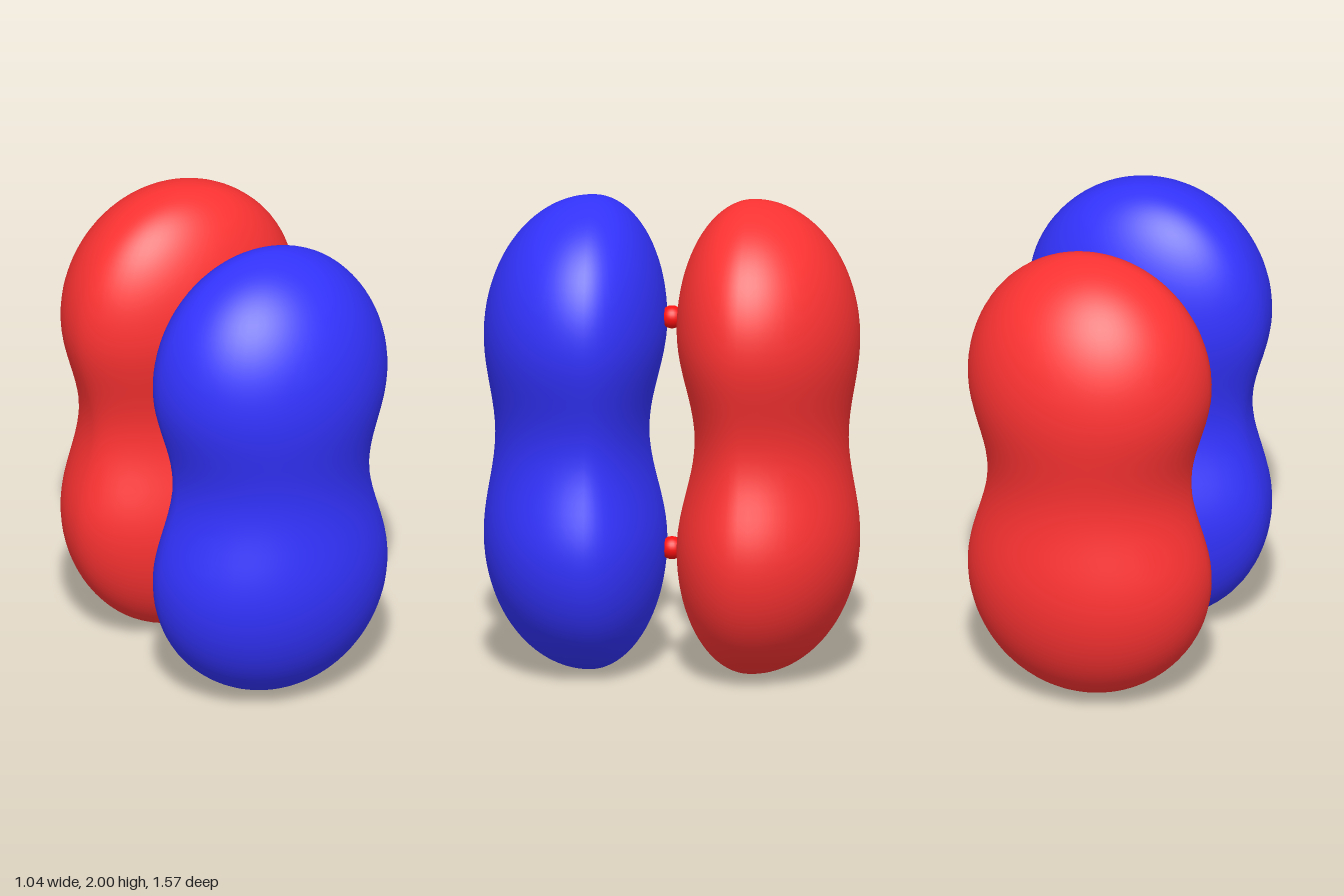
import * as THREE from 'three';
import { mergeVertices } from 'three/addons/utils/BufferGeometryUtils.js';

// Extent at distance d from mid-height: waist swelling to a peak, then an elliptical cap
function extent(d, waist, max, peak) {
  if (d >= 1) return 0;
  if (d > peak) return max * Math.sqrt(1 - ((d - peak) / (1 - peak)) ** 2);
  return waist + (max - waist) * (1 - Math.cos(Math.PI * d / peak)) / 2;
}

// Peanut-shaped lobe, flatter on its inner side (low z)
function lobeGeometry() {
  const sphere = new THREE.SphereGeometry(1, 64, 64);
  const pos = sphere.attributes.position;
  const uv = sphere.attributes.uv;
  for (let i = 0; i < pos.count; i++) {
    const y = pos.getY(i);
    const d = Math.min(1, Math.abs(y));
    const a = uv.getX(i) * Math.PI * 2;
    const width = extent(d, 0.435, 0.522, 0.45);
    const depth = Math.sin(a) < 0
      ? extent(d, 0.235, 0.31, 0.47)
      : extent(d, 0.4, 0.447, 0.42);
    pos.setXYZ(i, -Math.cos(a) * width, 1 + y, 0.336 + Math.sin(a) * depth);
  }
  sphere.deleteAttribute('uv');
  sphere.deleteAttribute('normal');
  const geometry = mergeVertices(sphere, 1e-5);
  geometry.computeVertexNormals();
  return geometry;
}

export function createModel() {
  const group = new THREE.Group();
  const add = (name, geometry, color) => {
    const mesh = new THREE.Mesh(geometry, new THREE.MeshStandardMaterial({ color }));
    mesh.name = name;
    group.add(mesh);
    return mesh;
  };

  // Two facing lobes
  const lobe = lobeGeometry();
  add('frontLobe', lobe, 0x3333ff);
  add('backLobe', lobe, 0xff3333).rotation.y = Math.PI;

  // Small beads bridging the gap
  const bead = new THREE.SphereGeometry(0.048, 24, 16);
  add('upperBead', bead, 0xff1111).position.y = 1.5;
  add('lowerBead', bead, 0xff1111).position.y = 0.515;

  return group;
}
